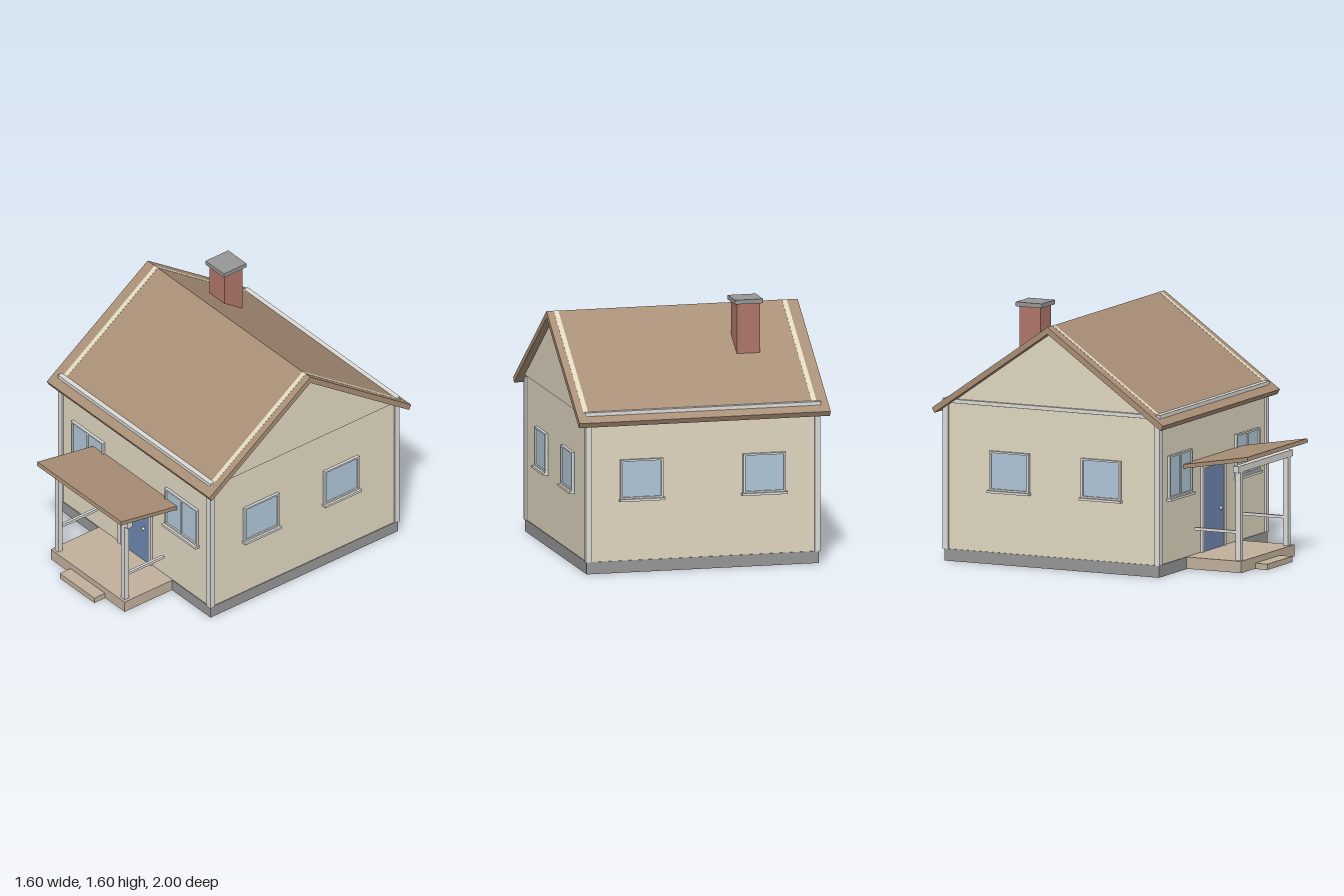
import * as THREE from 'three';

const mat = (color) => new THREE.MeshStandardMaterial({ color, flatShading: true });

export function createModel() {
  const house = new THREE.Group();
  house.name = 'house';
  const M = {
    wall: mat(0xe0d7c0), roof: mat(0xa88e76), trim: mat(0xdbdad6), stone: mat(0x969696),
    glass: mat(0xb0c6d8), brick: mat(0xb0766a), door: mat(0x7086b0), deck: mat(0xc0b09c),
  };
  const ZC = -0.2; // centre line of the main building

  const add = (name, geometry, material, parent = house) => {
    const mesh = new THREE.Mesh(geometry, material);
    mesh.name = name;
    parent.add(mesh);
    return mesh;
  };
  // Box given by its extents on each axis
  const box = (name, material, [x0, x1], [y0, y1], [z0, z1], parent = house) => {
    const mesh = add(name, new THREE.BoxGeometry(x1 - x0, y1 - y0, z1 - z0), material, parent);
    mesh.position.set((x0 + x1) / 2, (y0 + y1) / 2, (z0 + z1) / 2);
    return mesh;
  };
  // Profile of [depth, height] points extruded along x from x0 to x1
  const prism = (name, material, points, x0, x1) => {
    const shape = new THREE.Shape(points.map(([u, v]) => new THREE.Vector2(u, v)));
    const geometry = new THREE.ExtrudeGeometry(shape, { depth: x1 - x0, bevelEnabled: false });
    geometry.rotateY(Math.PI / 2);
    add(name, geometry, material).position.set(x0, 0, ZC);
  };

  // Main body
  box('foundation', M.stone, [-0.74, 0.74], [0, 0.075], [ZC - 0.74, ZC + 0.74]);
  box('walls', M.wall, [-0.735, 0.735], [0.075, 0.985], [ZC - 0.735, ZC + 0.735]);
  for (const x of [-0.73, 0.73]) {
    for (const z of [ZC - 0.73, ZC + 0.73]) {
      box('cornerTrim', M.trim, [x - 0.018, x + 0.018], [0.075, 0.99], [z - 0.018, z + 0.018]);
    }
  }

  // Trim ring around the top of the walls
  for (const s of [-1, 1]) {
    const z = ZC + s * 0.732;
    box('eaveTrim', M.trim, [-0.75, 0.75], [0.99, 1.014], [z - 0.018, z + 0.018]);
    const x = s * 0.732;
    box('gableTrim', M.trim, [x - 0.018, x + 0.018], [0.988, 1.012], [ZC - 0.714, ZC + 0.714]);
  }

  // Gables, whose upper edges show through the roof
  for (const x of [-0.73, 0.725]) {
    prism('gable', M.wall, [[-0.752, 0.99], [0.752, 0.99], [0, 1.519]], x, x + 0.03);
  }

  // Pitched roof
  prism('roof', M.roof, [
    [0, 1.517], [-0.797, 0.958], [-0.78, 0.927], [0, 1.474], [0.78, 0.927], [0.797, 0.958],
  ], -0.8, 0.8);

  // Chimney
  box('chimney', M.brick, [-0.463, -0.317], [1.15, 1.577], [-0.562, -0.418]);
  box('chimneyCap', M.stone, [-0.48, -0.3], [1.575, 1.602], [-0.58, -0.4]);

  // Window built facing +z, then turned onto its wall
  const addWindow = (x, z, angle, w, y0, y1, panes) => {
    const group = new THREE.Group();
    group.name = 'window';
    const h = w / 2, b = 0.013;
    box('glass', M.glass, [-h, h], [y0, y1], [-0.01, 0.008], group);
    for (const s of [-1, 1]) {
      const c = s * (h - b / 2);
      box('frameSide', M.trim, [c - b / 2, c + b / 2], [y0, y1], [-0.01, 0.018], group);
    }
    box('frameTop', M.trim, [-h, h], [y1 - 0.011, y1], [-0.01, 0.0185], group);
    box('frameBottom', M.trim, [-h, h], [y0, y0 + 0.011], [-0.01, 0.0185], group);
    if (panes === 2) box('mullion', M.trim, [-0.005, 0.005], [y0, y1], [-0.01, 0.015], group);
    box('sill', M.trim, [-h - 0.008, h + 0.008], [y0 - 0.014, y0 + 0.001], [-0.01, 0.034], group);
    group.position.set(x, 0, z);
    group.rotation.y = angle;
    house.add(group);
  };
  for (const s of [-1, 1]) {
    addWindow(s * 0.46, ZC + 0.735, 0, 0.315, 0.475, 0.742, 2);
    addWindow(s * 0.39, ZC - 0.735, Math.PI, 0.272, 0.462, 0.708, 1);
    for (const z of [0.142, -0.49]) addWindow(s * 0.735, z, s * Math.PI / 2, 0.272, 0.462, 0.708, 1);
  }

  // Front door
  box('door', M.door, [-0.135, 0.135], [0.075, 0.597], [0.52, 0.542]);
  for (const s of [-1, 1]) {
    const x = s * 0.148;
    box('doorFrameSide', M.trim, [x - 0.013, x + 0.013], [0.075, 0.597], [0.52, 0.55]);
  }
  box('doorFrameTop', M.trim, [-0.161, 0.161], [0.597, 0.625], [0.52, 0.55]);
  add('doorKnob', new THREE.SphereGeometry(0.011, 16, 12),
    new THREE.MeshStandardMaterial({ color: 0xcccccc })).position.set(0.09, 0.317, 0.549);

  // Porch
  box('porchFloor', M.deck, [-0.363, 0.363], [0.002, 0.075], [0.53, 0.916]);
  box('porchStep', M.deck, [-0.17, 0.17], [0, 0.036], [0.91, 1]);
  for (const s of [-1, 1]) {
    const x = s * 0.326;
    box('porchPost', M.trim, [x - 0.017, x + 0.017], [0.075, 0.627], [0.866, 0.9]);
    box('porchRail', M.trim, [x - 0.009, x + 0.009], [0.241, 0.259], [0.58, 0.868]);
  }
  box('porchBeam', M.trim, [-0.374, 0.374], [0.625, 0.666], [0.864, 0.902]);
  const canopy = add('porchRoof', new THREE.BoxGeometry(0.825, 0.026, 0.46), M.roof);
  canopy.position.set(0, 0.684, 0.758);
  canopy.rotation.x = -0.17;

  return house;
}
